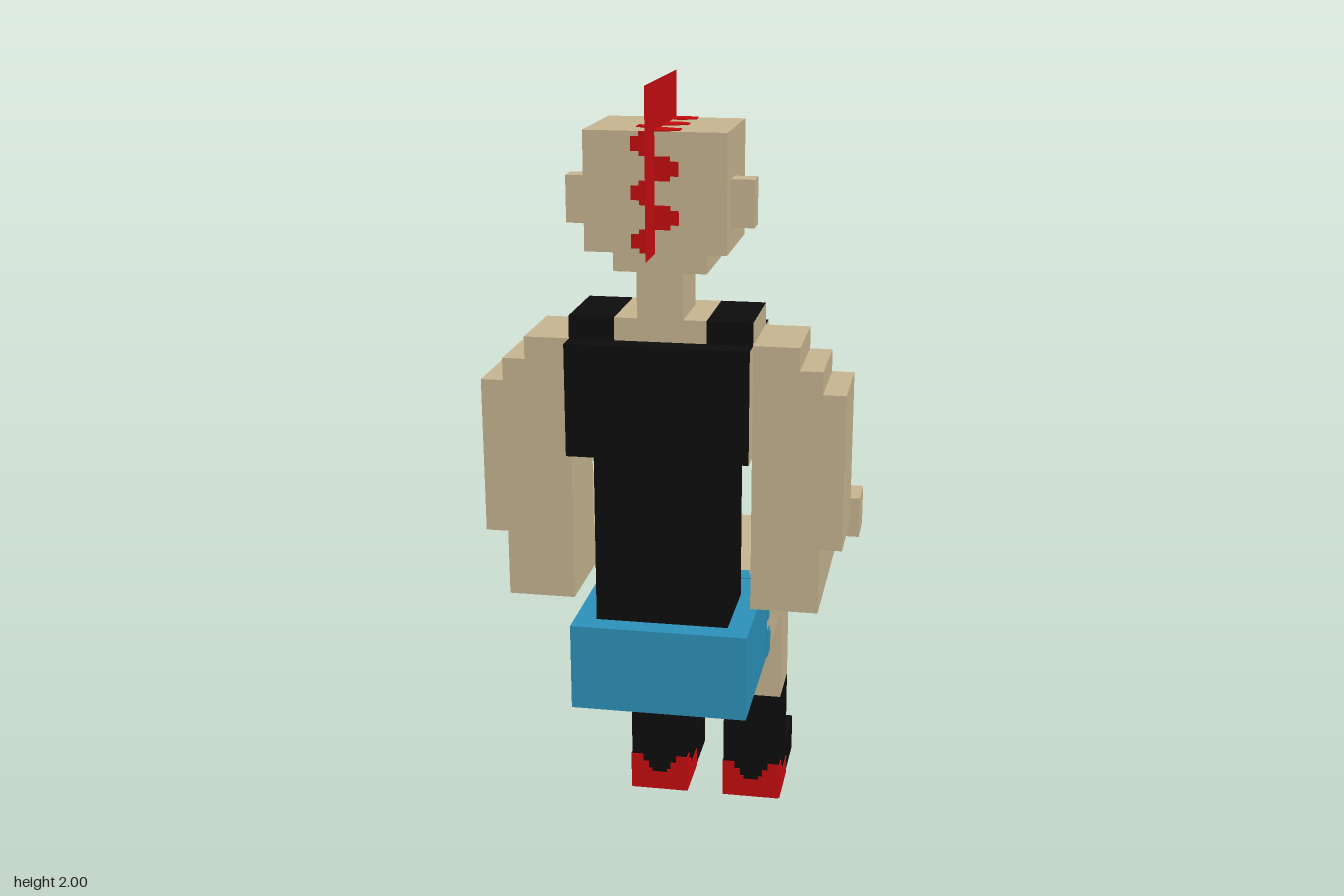
import * as THREE from 'three';

const U = 2 / 39; // one block unit
const E = 0.05;   // thickness of painted plates, in block units

export function createModel() {
  const group = new THREE.Group();
  const mat = (name, color) => {
    const m = new THREE.MeshStandardMaterial({ color, side: THREE.DoubleSide });
    m.name = name;
    return m;
  };
  const skin = mat('skin', 0xc9b792);
  const black = mat('black cloth', 0x0d0d0d);
  const blue = mat('blue shorts', 0x2d93bd);
  const red = mat('red', 0xc90d10);

  // Box from its extents in block units; mirrored sides may come in reverse order
  function box(name, m, [xa, xb], [ya, yb], [za, zb]) {
    const geo = new THREE.BoxGeometry(Math.abs(xb - xa) * U, Math.abs(yb - ya) * U, Math.abs(zb - za) * U);
    const mesh = new THREE.Mesh(geo, m);
    mesh.position.set((xa + xb) / 2 * U, (ya + yb) / 2 * U, (za + zb) / 2 * U);
    mesh.name = name;
    group.add(mesh);
    return mesh;
  }

  // Head
  box('head', skin, [-3, 3], [32, 37], [3.5, 8.5]);
  box('jaw', skin, [-2, 2], [31, 32], [3.5, 7.5]);
  box('neck', skin, [-1, 1], [29, 31], [4.5, 7.5]);
  box('nose', skin, [-1, 1], [33, 34], [2.5, 3.5]);

  // Crest: a flat L-shaped sheet over the top and back of the head
  const crest = new THREE.Shape();
  [[3.5, 37], [8.5, 37], [8.5, 32], [10.5, 32], [10.5, 39], [3.5, 39]].forEach(([z, y], i) =>
    i ? crest.lineTo(z * U, y * U) : crest.moveTo(z * U, y * U));
  const crestMesh = new THREE.Mesh(new THREE.ShapeGeometry(crest).rotateY(-Math.PI / 2), red);
  crestMesh.name = 'crest';
  group.add(crestMesh);

  // Hair roots: alternating scallops beside the crest
  for (let i = 0; i < 5; i++) {
    const s = i % 2 ? 1 : -1;
    for (const [w, inset] of [[1, 0.2], [0.65, 0]]) {
      const a = i + inset, b = i + 1 - inset;
      box('backHairRoot', red, [0, s * w], [32 + a, 32 + b], [8.5, 8.5 + E]);
      box('topHairRoot', red, [0, -s * w], [37, 37 + E], [8.5 - a, 8.5 - b]);
    }
  }

  // Torso: vest with bare armholes
  const vest = [skin, skin, black, black, black, black];
  box('chest', vest, [-4, 4], [23, 28], [2.5, 8.5]);
  box('waist', black, [-3, 3], [15, 23], [3.5, 7.5]);
  box('collar', skin, [-2, 2], [28, 29], [3.5, 7.5]);
  box('necklineTop', skin, [-1, 1], [28, 28 + E], [2.5, 3.5]);
  box('necklineFront', skin, [-1, 1], [27, 28 + E], [2.5 - E, 2.5]);
  box('hips', blue, [-4, 4], [11, 15], [3.5, 8.5]);

  for (const s of [-1, 1]) {
    const X = (a, b) => [s * a, s * b];
    box('ear', skin, X(3, 4), [33, 35], [6.5, 7.5]);
    const strap = [black, black, black, black, black, black];
    strap[s > 0 ? 0 : 1] = skin;
    box('vestStrap', strap, X(2, 4), [28, 29], [3.5, 7.5]);

    // Arm with stepped shoulder
    box('upperArm', skin, X(4, 6), [16, 28], [3.5, 7.5]);
    box('shoulderStep', skin, X(6, 7), [16, 27], [3.5, 7.5]);
    box('outerArm', skin, X(7, 8), [19, 26], [3.5, 7.5]);
    box('forearm', skin, X(4, 7), [16, 18], [-2.5, 3.5]);
    box('hand', skin, X(3, 8), [16, 18], [-4.5, -2.5]);

    // Leg
    box('shortsLeg', blue, X(1, 4), [11, 15], [1.5, 3.5]);
    box('thigh', skin, X(1, 4), [11, 15], [-7.5, 1.5]);
    box('shin', skin, X(1, 4), [6, 11], [-7.5, -4.5]);

    // Scalloped hem of the shorts
    box('hemTop', blue, X(1.6, 3.5), [15, 15 + E], [0.9, 1.5]);
    box('hemTopTip', blue, X(2.1, 3), [15, 15 + E], [0.5, 0.9]);
    box('hemBottom', blue, X(1, 4), [11 - E, 11], [0.5, 1.5]);
    for (const x of [X(4, 4 + E), X(1 - E, 1)]) {
      box('hemSide', blue, x, [12.9, 14.6], [0.9, 1.5]);
      box('hemSideTip', blue, x, [13.2, 14.2], [0.5, 0.9]);
      box('hemSideLow', blue, x, [11, 12.4], [0.9, 1.5]);
      box('hemSideLowTip', blue, x, [11, 12], [0.5, 0.9]);
    }

    // Boot with red sole and heel
    const boot = [black, black, black, red, black, black];
    box('bootShaft', boot, X(1, 4), [0, 6], [-7.5, -4.5]);
    box('bootToe', boot, X(1, 4), [0, 2], [-10.5, -7.5]);
    box('heelBack', red, X(1, 4), [0, 1], [-4.5, -4.5 + E]);
    for (const [a, b, c, d] of [[1, 1.6, 1.9, 2.1], [4, 3.4, 3.1, 2.9]]) {
      box('heelBackTip', red, X(a, b), [1, 2], [-4.5, -4.5 + E]);
      box('heelBackStep', red, X(b, c), [1, 1.6], [-4.5, -4.5 + E]);
      box('heelBackLow', red, X(c, d), [1, 1.2], [-4.5, -4.5 + E]);
    }
    for (const x of [X(4, 4 + E), X(1 - E, 1)]) {
      box('heelSide', red, x, [0, 1], [-7.5, -4.5]);
      box('heelSideTip', red, x, [1, 2], [-5.1, -4.5]);
      box('heelSideStep', red, x, [1, 1.5], [-5.5, -5.1]);
    }
  }
  return group;
}
